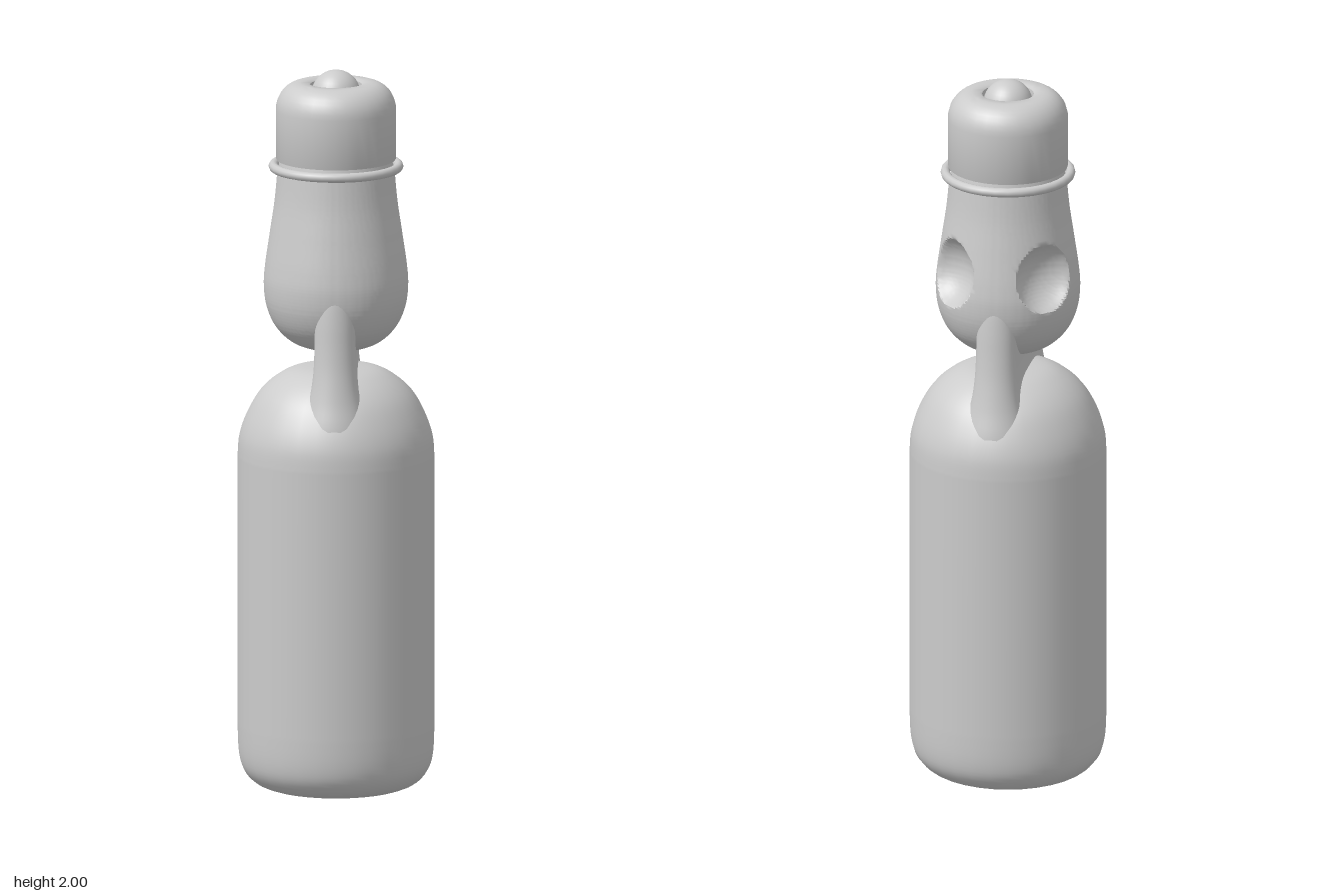
import * as THREE from 'three';
import { mergeVertices, toCreasedNormals } from 'three/addons/utils/BufferGeometryUtils.js';

const material = new THREE.MeshStandardMaterial({ color: 0xcccccc });
const vectors = (points) => points.map(([x, y]) => new THREE.Vector2(x, y));

// Smooth profile through a few radius/height pairs
function smooth(points, divisions) {
  return new THREE.SplineCurve(vectors(points)).getPoints(divisions)
    .map((p) => new THREE.Vector2(Math.max(p.x, 0), p.y));
}

function addMesh(group, name, geometry) {
  const mesh = new THREE.Mesh(geometry, material);
  mesh.name = name;
  group.add(mesh);
  return mesh;
}

// Upper bulb with two round dimples pressed into the back
function bulbGeometry() {
  const profile = smooth([
    [0, 1.22], [0.06, 1.223], [0.12, 1.243], [0.165, 1.285], [0.19, 1.34], [0.198, 1.4],
    [0.194, 1.46], [0.181, 1.55], [0.168, 1.64], [0.16, 1.73],
  ], 110);
  let geometry = new THREE.LatheGeometry(profile, 160);
  const position = geometry.attributes.position;
  const p = new THREE.Vector3();
  const radius = 0.11;
  for (const side of [-1, 1]) {
    const axis = new THREE.Vector3(side, 0, -1).normalize();
    const centre = axis.clone().multiplyScalar(0.24).setY(1.48);
    for (let i = 0; i < position.count; i++) {
      p.fromBufferAttribute(position, i).sub(centre);
      if (p.length() >= radius) continue;
      // Slide the point inward along the axis to the far wall of the sphere
      const along = p.dot(axis);
      const across = p.lengthSq() - along * along;
      p.addScaledVector(axis, -Math.sqrt(radius * radius - across) - along).add(centre);
      position.setXYZ(i, p.x, p.y, p.z);
    }
  }
  geometry.deleteAttribute('uv');
  geometry.deleteAttribute('normal');
  geometry = mergeVertices(geometry, 1e-5);
  return toCreasedNormals(geometry, 0.6);
}

// Pinched waist: capsule-shaped cross-sections running front to back
function waistGeometry() {
  // Height, half width, half depth
  const sections = [
    [0.93, 0.1, 0.255], [1.03, 0.09, 0.248], [1.1, 0.073, 0.231], [1.15, 0.063, 0.221],
    [1.2, 0.058, 0.213], [1.26, 0.056, 0.207], [1.33, 0.055, 0.202], [1.4, 0.05, 0.194],
    [1.48, 0.035, 0.172],
  ];
  const curve = new THREE.CatmullRomCurve3(
    sections.map(([y, w, d]) => new THREE.Vector3(w, y, d)));
  const rows = 32, half = 16, ring = 2 * (half + 1);
  const vertices = [], index = [];
  for (let r = 0; r <= rows; r++) {
    const { x: w, y, z: d } = curve.getPoint(r / rows);
    for (let k = 0; k < ring; k++) {
      const front = k <= half;
      const a = Math.PI * (front ? k / half : 1 + (k - half - 1) / half);
      const shift = (front ? 1 : -1) * (d - w * 0.8);
      vertices.push(Math.cos(a) * w, y, Math.sin(a) * w * 0.8 + shift);
      if (r === rows) continue;
      const i = r * ring + k, j = r * ring + (k + 1) % ring;
      index.push(i, i + ring, j, j, i + ring, j + ring);
    }
  }
  const geometry = new THREE.BufferGeometry();
  geometry.setAttribute('position', new THREE.Float32BufferAttribute(vertices, 3));
  geometry.setIndex(index);
  geometry.computeVertexNormals();
  return geometry;
}

export function createModel() {
  const group = new THREE.Group();
  group.name = 'marbleBottle';

  // Body: flat base, rounded heel, straight wall and domed shoulder
  const heel = smooth([[0.19, 0], [0.225, 0.015], [0.255, 0.05], [0.267, 0.1], [0.27, 0.18]], 16);
  const shoulder = smooth([
    [0.27, 0.92], [0.265, 0.98], [0.245, 1.04], [0.21, 1.1], [0.16, 1.145], [0.1, 1.17], [0, 1.175],
  ], 28);
  addMesh(group, 'body', new THREE.LatheGeometry([...heel, ...shoulder], 32));
  const base = addMesh(group, 'base', new THREE.CircleGeometry(0.19, 32));
  base.rotation.x = Math.PI / 2;

  addMesh(group, 'waist', waistGeometry());
  addMesh(group, 'bulb', bulbGeometry());

  // Neck and its ring
  const neck = addMesh(group, 'neck', new THREE.CylinderGeometry(0.15, 0.16, 0.05, 32));
  neck.position.y = 1.745;
  const collar = addMesh(group, 'neckRing', new THREE.TorusGeometry(0.172, 0.013, 12, 32));
  collar.rotation.x = Math.PI / 2;
  collar.position.y = 1.732;

  // Cap with rounded rim and an opening for the marble
  const cap = [...vectors([[0.14, 1.752], [0.164, 1.752], [0.165, 1.755], [0.165, 1.89]])];
  for (let i = 1; i <= 8; i++) {
    const a = (i / 8) * Math.PI / 2;
    cap.push(new THREE.Vector2(0.1 + 0.065 * Math.cos(a), 1.89 + 0.075 * Math.sin(a)));
  }
  cap.push(...vectors([[0.078, 1.965], [0.071, 1.96], [0.069, 1.945], [0.069, 1.92]]));
  addMesh(group, 'cap', toCreasedNormals(new THREE.LatheGeometry(cap, 32), 0.7));

  const marble = addMesh(group, 'marble', new THREE.SphereGeometry(0.068, 32, 20));
  marble.position.y = 1.932;

  return group;
}
